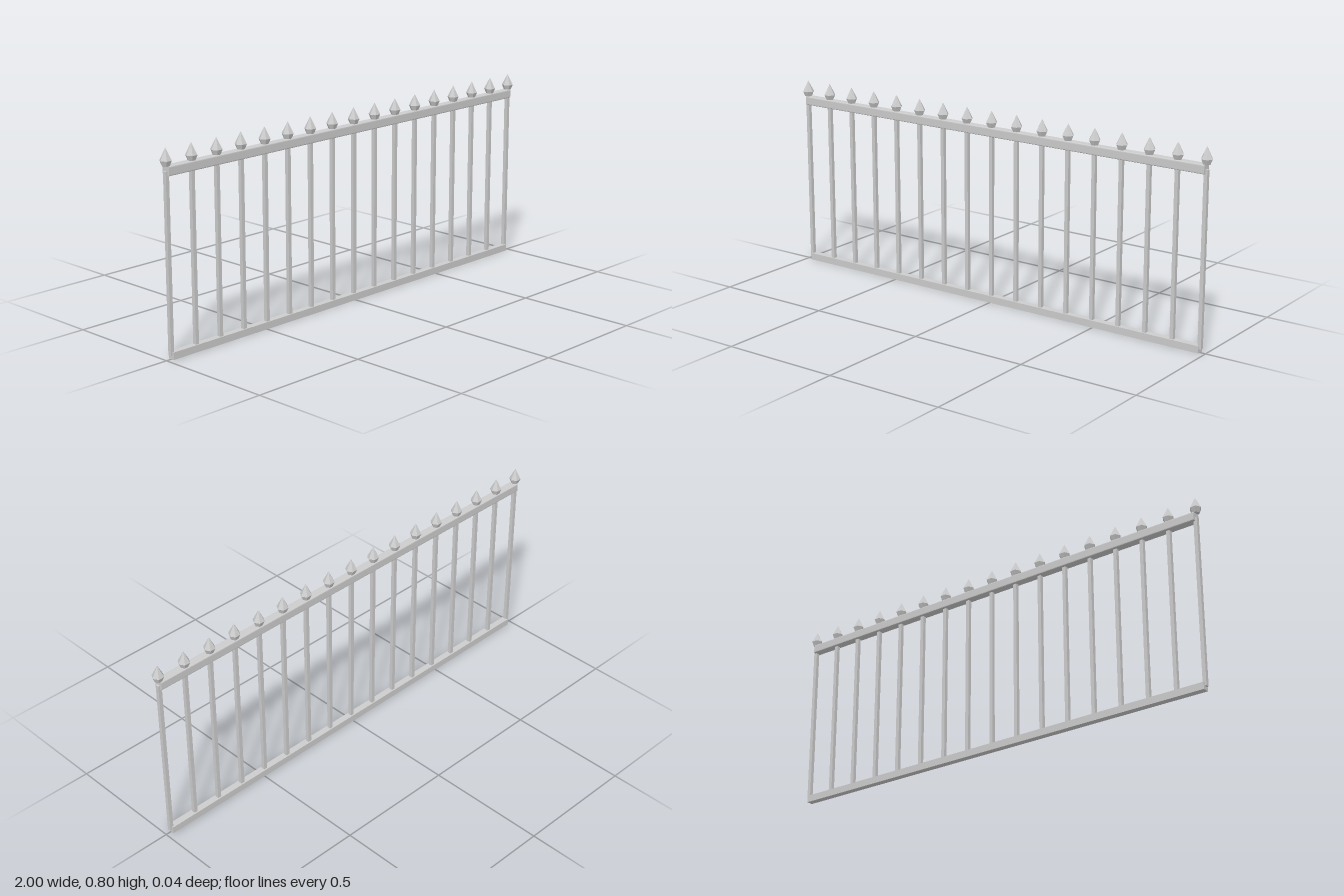
import * as THREE from 'three';

const HALF = 0.976;   // rail half length, end bars sit on the rail ends
const COUNT = 17;

// rectangular section with rounded corners, extruded along x
function roundedRail(height, depth, r, length) {
  const w = depth / 2, h = height / 2;
  const s = new THREE.Shape();
  s.moveTo(-w + r, -h);
  s.lineTo(w - r, -h);
  s.quadraticCurveTo(w, -h, w, -h + r);
  s.lineTo(w, h - r);
  s.quadraticCurveTo(w, h, w - r, h);
  s.lineTo(-w + r, h);
  s.quadraticCurveTo(-w, h, -w, h - r);
  s.lineTo(-w, -h + r);
  s.quadraticCurveTo(-w, -h, -w + r, -h);
  const geo = new THREE.ExtrudeGeometry(s, { depth: length, bevelEnabled: false, curveSegments: 3 });
  return geo.translate(0, 0, -length / 2).rotateY(Math.PI / 2);
}

export function createModel() {
  const group = new THREE.Group();
  const iron = new THREE.MeshStandardMaterial({ color: 0xcccccc, flatShading: true });
  iron.name = 'light grey metal';

  function add(name, geometry, x, y) {
    const mesh = new THREE.Mesh(geometry, iron);
    mesh.name = name;
    mesh.position.set(x, y, 0);
    group.add(mesh);
  }

  // horizontal rails
  add('topRail', roundedRail(0.037, 0.036, 0.005, HALF * 2), 0, 0.7185);
  add('bottomRail', new THREE.BoxGeometry(HALF * 2, 0.029, 0.028), 0, 0.0145);

  // square bars and hexagonal spear finials, one finial corner facing along x
  const bar = new THREE.BoxGeometry(0.0155, 0.702, 0.0155);
  const spear = new THREE.LatheGeometry([
    new THREE.Vector2(0, 0),
    new THREE.Vector2(0.015, 0),
    new THREE.Vector2(0.024, 0.021),
    new THREE.Vector2(0, 0.068),
  ], 6).rotateY(Math.PI / 2);

  for (let i = 0; i < COUNT; i++) {
    const x = -HALF + (2 * HALF * i) / (COUNT - 1);
    add('bar' + (i + 1), bar, x, 0.366);
    add('finial' + (i + 1), spear, x, 0.736);
  }
  return group;
}
